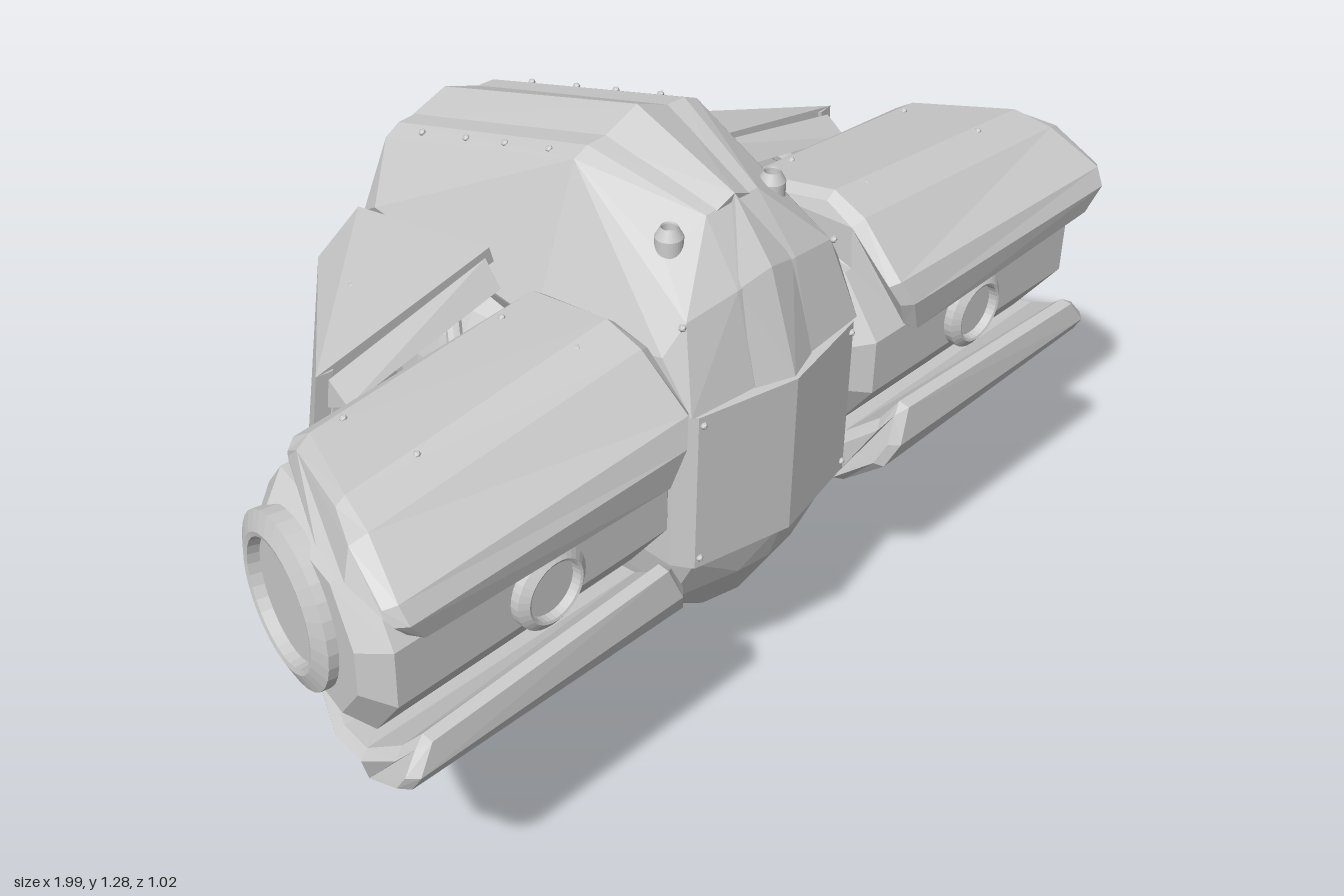
import * as THREE from 'three';
import { ConvexGeometry } from 'three/addons/geometries/ConvexGeometry.js';

const flat = new THREE.MeshStandardMaterial({ color: 0xcccccc, flatShading: true });
const smooth = new THREE.MeshStandardMaterial({ color: 0xcccccc });
const clamp = (v) => Math.min(1, Math.max(0, v));
const V = (p) => new THREE.Vector3(...p);
const armTilt = 0.23; // slope of the arm's outer end in the top plane

// Reflected copy of a geometry, with face winding kept outward
function reflect(geo, sx, sy) {
  const g = geo.index ? geo.toNonIndexed() : geo.clone();
  g.scale(sx, sy, 1);
  for (const name of ['position', 'normal']) {
    const a = g.attributes[name];
    for (let i = 0; i < a.count; i += 3) {
      const p = [a.getX(i + 1), a.getY(i + 1), a.getZ(i + 1)];
      a.setXYZ(i + 1, a.getX(i + 2), a.getY(i + 2), a.getZ(i + 2));
      a.setXYZ(i + 2, ...p);
    }
  }
  return g;
}

// Faceted solid around corners; 'both' mirrors each corner in x
const hull = (pts) => new ConvexGeometry(pts.map(V));
const both = (pts) => pts.flatMap(([x, y, z]) => (x ? [[x, y, z], [-x, y, z]] : [[x, y, z]]));
// Thin armour plate: corners plus the same corners pushed inward
const slab = (pts, d) => hull([...pts, ...pts.map((p) => p.map((v, i) => v + d[i]))]);

// Rod between two points
function rod(a, b, r, sides = 8) {
  const A = V(a), B = V(b), dir = B.clone().sub(A);
  const g = new THREE.CylinderGeometry(r, r, dir.length(), sides);
  g.applyQuaternion(new THREE.Quaternion().setFromUnitVectors(new THREE.Vector3(0, 1, 0), dir.normalize()));
  return g.translate(...A.add(B).multiplyScalar(0.5).toArray());
}

// Curved armour over the arm: a hooked profile extruded along x, then tapered
function armPlate() {
  const profile = [[0.06, 0.95], [0.065, 0.985], [0.11, 1.03], [0.31, 1.067], [0.39, 1.038], [0.495, 0.942],
    [0.515, 0.89], [0.505, 0.815], [0.48, 0.812], [0.45, 0.86], [0.38, 0.918], [0.3, 0.935], [0.08, 0.93]];
  const shape = new THREE.Shape(profile.map(([z, y]) => new THREE.Vector2(-z, y)));
  const g = new THREE.ExtrudeGeometry(shape, {
    depth: 0.94, bevelEnabled: true, bevelThickness: 0.03, bevelSize: 0.018, bevelOffset: -0.018, bevelSegments: 1,
  });
  g.translate(0, 0, 0.03).rotateY(Math.PI / 2);
  const a = g.attributes.position;
  for (let i = 0; i < a.count; i++) {
    const t = a.getX(i), y = a.getY(i), z = a.getZ(i);
    const inner = 0.275 + 0.06 * clamp((0.95 - y) / 0.13) + 0.02 * clamp((y - 1) / 0.05);
    const outer = 0.99 - 0.15 * clamp((0.33 - z) / 0.28) - 0.045 * clamp((0.9 - y) / 0.08)
      - 0.045 * clamp((y - 1) / 0.05);
    a.setX(i, inner + (outer - inner) * t);
    a.setY(i, y + t * (0.02 - 0.075 * (y - 0.82) / 0.24));
  }
  g.computeVertexNormals();
  return g;
}

// Eight-sided arm casing, chamfered at both ends, the outer end turned slightly back
function armHousing() {
  const ring = [[0.45, 0.66], [0.45, 0.78], [0.36, 0.905], [0.06, 0.905], [0, 0.83], [0, 0.61], [0.06, 0.535], [0.36, 0.535]];
  const pts = [];
  for (const [x, s, tilt] of [[0.255, 0.85, 0], [0.3, 1, 0], [0.885, 1, armTilt], [0.935, 0.78, armTilt]])
    for (const [rz, y] of ring) {
      const z = 0.18 + (rz - 0.18) * s;
      pts.push([x + tilt * (z - 0.17), 0.72 + (y - 0.72) * s, z]);
    }
  return hull(pts);
}

// Round cap with a sloping rim and a recessed centre, turned about +y
function rimCap(r, inner, depth) {
  const p = [[r, 0], [r, depth * 0.7], [inner * 1.08, depth], [inner, depth * 0.95], [inner * 0.97, depth * 0.5], [0, depth * 0.5]];
  return new THREE.LatheGeometry(p.map(([x, y]) => new THREE.Vector2(x, y)), 32);
}

export function createModel() {
  const model = new THREE.Group();
  const add = (name, geo, mat = flat) => {
    const m = new THREE.Mesh(geo, mat);
    m.name = name;
    model.add(m);
  };
  const pair = (name, geo, mat = flat) => {
    add(name + 'Left', geo, mat);
    add(name + 'Right', reflect(geo, -1, 1), mat);
  };

  // Core sphere with its pole at the back
  add('coreSphere', new THREE.SphereGeometry(0.355, 32, 20).rotateX(Math.PI / 2).translate(0, 0.7, -0.126));

  // Helmet shell, with a low crest along the middle
  add('helmet', hull(both([
    [0, 1.255, 0.08], [0.13, 1.25, 0.08], [0.165, 1.235, 0.08], [0.19, 1.17, 0.07],
    [0, 1.18, 0.32], [0.07, 1.175, 0.32], [0.165, 1.12, 0.31],
    [0.08, 1.06, 0.41], [0.2, 1.04, 0.395], [0.245, 0.98, 0.38],
    [0.08, 0.872, 0.46], [0.235, 0.872, 0.445], [0.25, 0.872, 0.38], [0.25, 0.872, 0.1],
    [0.29, 0.95, 0.1], [0.25, 0.97, -0.4], [0.23, 0.93, -0.46],
    [0, 1.1, -0.455], [0.13, 1.095, -0.455], [0.165, 1.075, -0.455], [0.21, 0.92, -0.468],
  ])));
  add('helmetCrest', hull(both([
    [0, 1.285, 0.08], [0.1, 1.245, 0.08], [0, 1.195, 0.325], [0.08, 1.16, 0.32],
    [0, 1.125, -0.46], [0.1, 1.09, -0.46], [0, 1.1, -0.468], [0, 1.05, -0.4], [0, 1.1, 0.25],
  ])));
  add('helmetBrow', hull(both([
    [0, 1.195, 0.325], [0, 1.08, 0.42], [0.075, 1.06, 0.408], [0, 0.872, 0.49], [0.08, 0.872, 0.462],
    [0, 0.872, 0.3], [0, 1.1, 0.25],
  ])));

  // Face plate and chin
  add('facePlate', hull(both([
    [0, 0.87, 0.497], [0.08, 0.87, 0.475], [0.22, 0.87, 0.45], [0.245, 0.87, 0.41], [0.245, 0.87, 0.05],
    [0, 0.517, 0.497], [0.08, 0.517, 0.475], [0.22, 0.517, 0.45], [0.245, 0.517, 0.41], [0.245, 0.517, 0.05],
  ])));
  add('chin', hull(both([
    [0, 0.515, 0.48], [0.08, 0.515, 0.465], [0.21, 0.515, 0.44], [0.235, 0.515, 0.4], [0.24, 0.515, 0.05],
    [0, 0.42, 0.45], [0.08, 0.42, 0.44], [0.21, 0.39, 0.38], [0.18, 0.33, 0.33],
    [0, 0.29, 0.375], [0.09, 0.295, 0.36], [0, 0.155, 0.15], [0.09, 0.19, 0.16], [0.2, 0.35, 0.05],
  ])));

  // Tail shell below the sphere, with a raised rear plate
  add('tailShell', hull(both([
    [0.245, 0.4, 0.22], [0.25, 0.45, 0.1], [0.16, 0.08, 0.085], [0.08, 0.025, 0.055], [0, 0.004, 0.05],
    [0.19, 0.13, -0.12], [0.1, 0.035, -0.13], [0.15, 0.13, -0.485], [0.1, 0.05, -0.495],
    [0.23, 0.48, -0.3], [0.19, 0.565, -0.44], [0.1, 0.46, -0.46],
  ])));
  add('tailRearPlate', hull(both([
    [0.1, 0.445, -0.47], [0.07, 0.445, -0.485], [0.06, 0.05, -0.51], [0.1, 0.05, -0.49],
    [0.08, 0.445, -0.44], [0.08, 0.05, -0.45],
  ])));

  // Upper rear wing: sloping top and outer side
  pair('upperWingTop', slab([[0.28, 1.05, -0.03], [0.71, 0.975, -0.02], [0.37, 0.89, -0.44], [0.26, 0.96, -0.44]], [-0.01, -0.035, 0]));
  pair('upperWingSide', slab([[0.71, 0.975, -0.02], [0.37, 0.89, -0.44], [0.37, 0.82, -0.445], [0.66, 0.755, -0.13], [0.74, 0.7, -0.03]], [-0.035, 0, 0.005]));
  pair('upperWingFrontLip', hull([[0.3, 1.04, -0.02], [0.69, 0.965, -0.01], [0.69, 0.93, 0.04], [0.3, 0.99, 0.02],
    [0.3, 0.96, -0.03], [0.69, 0.9, -0.02]]));

  // Lower rear wing: one broad plate slanting down and in, with a narrow upper edge
  pair('lowerWing', slab([[0.7, 0.52, 0.07], [0.72, 0.65, -0.09], [0.37, 0.745, -0.435], [0.25, 0.57, -0.42],
    [0.3, 0.3, -0.13], [0.48, 0.34, -0.085]], [-0.024, 0.02, 0.025]));
  pair('lowerWingTop', slab([[0.72, 0.65, -0.09], [0.37, 0.745, -0.435], [0.33, 0.79, -0.42], [0.59, 0.745, -0.15]], [-0.02, -0.025, 0.01]));

  // Arms: axle, casing, tilted end cap and front port
  pair('armAxle', rod([0, 0.72, 0.17], [0.3, 0.72, 0.17], 0.17, 24), smooth);
  pair('armHousing', armHousing());
  pair('armEndCap', rimCap(0.168, 0.122, 0.05).rotateZ(-Math.PI / 2).rotateY(Math.atan(armTilt)).translate(0.919, 0.72, 0.17));
  pair('armFrontPort', rimCap(0.082, 0.06, 0.04).rotateX(Math.PI / 2).translate(0.61, 0.72, 0.44));

  // Armour above and below each arm
  const plate = armPlate();
  pair('upperArmPlate', plate);
  pair('lowerArmPlate', reflect(plate, 1, -1).translate(0, 1.44, 0));

  // Support rods behind and around the arms
  for (const x of [0.42, 0.66]) {
    pair('armRod', rod([x, 0.47, 0.1], [x, 0.97, 0.1], 0.02));
    pair('upperStrut', rod([x, 0.82, 0.03], [x - 0.1, 0.92, -0.1], 0.016));
    pair('lowerStrut', rod([x, 0.62, 0.03], [x - 0.08, 0.58, -0.06], 0.016));
  }

  // Pegs on helmet and chin
  pair('helmetPeg', rimCap(0.027, 0.015, 0.068).translate(0.14, 1.105, 0.295));
  pair('chinPeg', rimCap(0.027, 0.015, 0.068).rotateX(Math.PI).translate(0.145, 0.345, 0.295));

  // Rivets
  const rivets = [
    ...[0, -0.12, -0.23, -0.36].map((z) => [0.15, 1.242 + (z - 0.08) * 0.287, z]),
    [0.21, 1.035, 0.395], [0.21, 0.85, 0.453], [0.21, 0.54, 0.453],
    [0.165, 0.1, 0.06], [0.185, 0.13, -0.06], [0.16, 0.09, -0.3], [0.215, 0.29, -0.06], [0.205, 0.21, 0.0],
    [0.47, 0.97, -0.21],
  ];
  for (const x of [0.4, 0.77]) {
    for (const [z, y] of [[0.13, 1.034], [0.32, 1.058]]) {
      const h = y - 0.055 * (x - 0.28) / 0.7;
      rivets.push([x, h, z], [x, 1.44 - h, z]);
    }
  }
  for (const p of rivets) pair('rivet', new THREE.IcosahedronGeometry(0.008, 0).translate(...p));

  return model;
}
